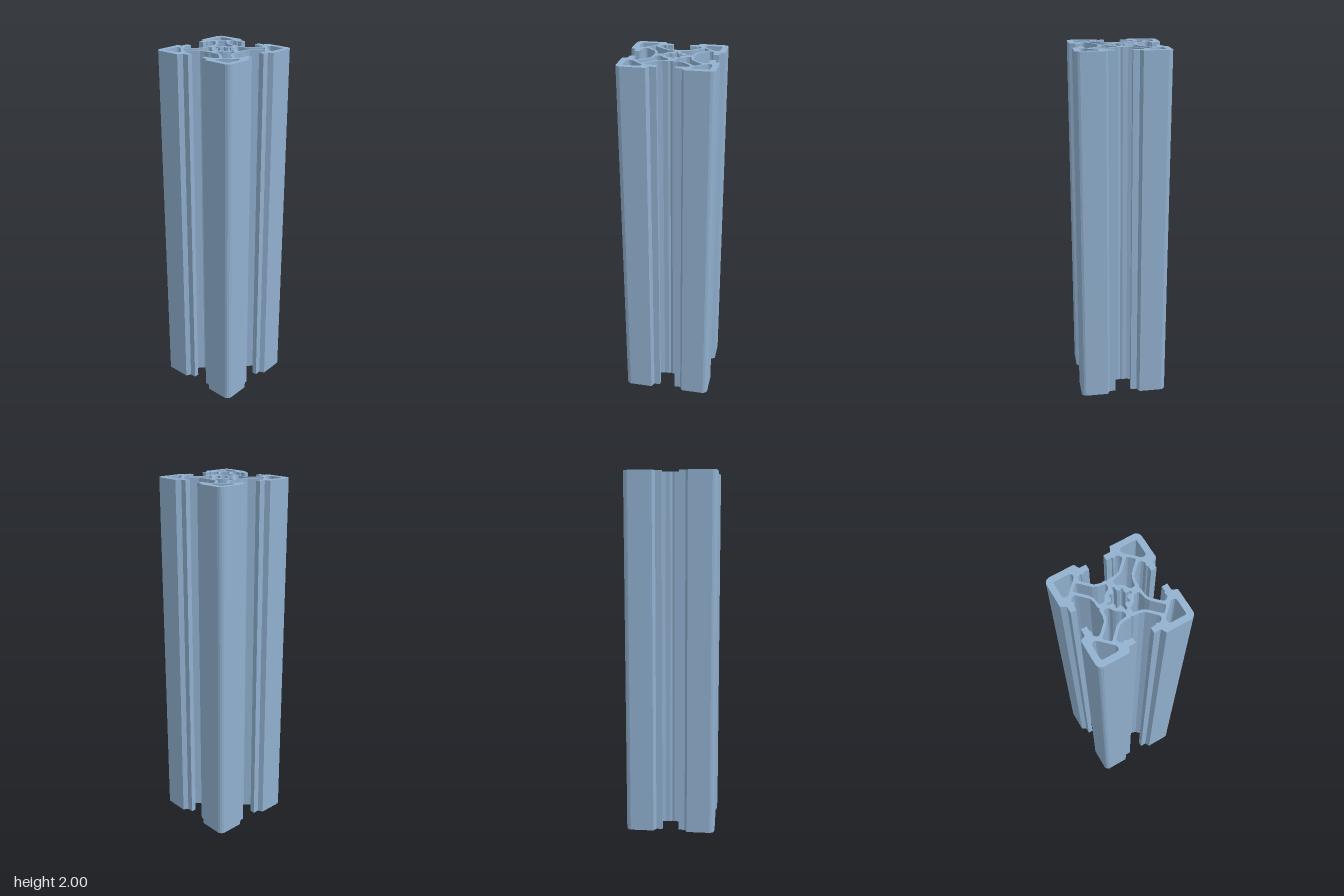
import * as THREE from 'three';

const LENGTH = 2;

// Half-quadrant outlines, running from the x axis to the diagonal.
const OUTER = [
  [0.103, 0], [0.108, 0.012], [0.108, 0.038], [0.116, 0.064], [0.155, 0.103],
  [0.168, 0.113], [0.179, 0.111], [0.189, 0.102], [0.193, 0.092], // slot undercut
  [0.188, 0.087], [0.188, 0.077], [0.194, 0.073], [0.194, 0.046], // lip
  [0.223, 0.046], [0.223, 0.081], [0.25, 0.095],
  [0.25, 0.225], [0.245, 0.237], // outer corner
];
const BORE = [
  [0.064, 0], [0.061, 0.006], [0.037, 0.008], [0.032, 0.021], [0.037, 0.026], [0.037, 0.033],
];
const CORNER_CAVITY = [
  [0.187, 0.131], [0.194, 0.126], [0.206, 0.125], [0.214, 0.129], [0.218, 0.137],
  [0.218, 0.211], [0.216, 0.216],
];
const ARM_CAVITY = [
  [0.047, 0.047], [0.056, 0.036], [0.063, 0.022], [0.07, 0.017], [0.085, 0.016],
  [0.092, 0.02], [0.095, 0.036], [0.099, 0.057], [0.111, 0.079], [0.159, 0.127],
  [0.163, 0.133], [0.159, 0.14],
];

// Mirror a half outline across the diagonal, dropping a repeated end point.
function mirrorDiagonal(half) {
  const mirrored = half.map(([x, y]) => [y, x]).reverse();
  return [...half, ...mirrored].filter(([x, y], i, all) => {
    const [px, py] = all[(i + all.length - 1) % all.length];
    return Math.hypot(x - px, y - py) > 1e-6;
  });
}

// Turn points by a number of quarter turns.
function quarterTurn(points, turns) {
  let result = points;
  for (let i = 0; i < turns; i++) result = result.map(([x, y]) => [-y, x]);
  return result;
}

// Full ring made of four turned quadrants; each end point starts the next quadrant.
function ring(half) {
  const quadrant = mirrorDiagonal(half).slice(0, -1);
  return [0, 1, 2, 3].flatMap((t) => quarterTurn(quadrant, t));
}

const toVectors = (points) => points.map(([x, y]) => new THREE.Vector2(x, y));

export function createModel() {
  const group = new THREE.Group();
  group.name = 'slottedExtrusion';

  // Cross-section with central bore, four arm cavities and four corner cavities
  const section = new THREE.Shape(toVectors(ring(OUTER)));
  section.holes.push(new THREE.Path(toVectors(ring(BORE))));
  for (let t = 0; t < 4; t++) {
    for (const cavity of [ARM_CAVITY, CORNER_CAVITY]) {
      section.holes.push(new THREE.Path(toVectors(quarterTurn(mirrorDiagonal(cavity), t))));
    }
  }

  // Extrude along the length and stand upright
  const geometry = new THREE.ExtrudeGeometry(section, { depth: LENGTH, bevelEnabled: false });
  geometry.rotateX(-Math.PI / 2);

  const profile = new THREE.Mesh(geometry, new THREE.MeshStandardMaterial({ color: 0x91b0cf }));
  profile.name = 'profileBar';
  group.add(profile);
  return group;
}
